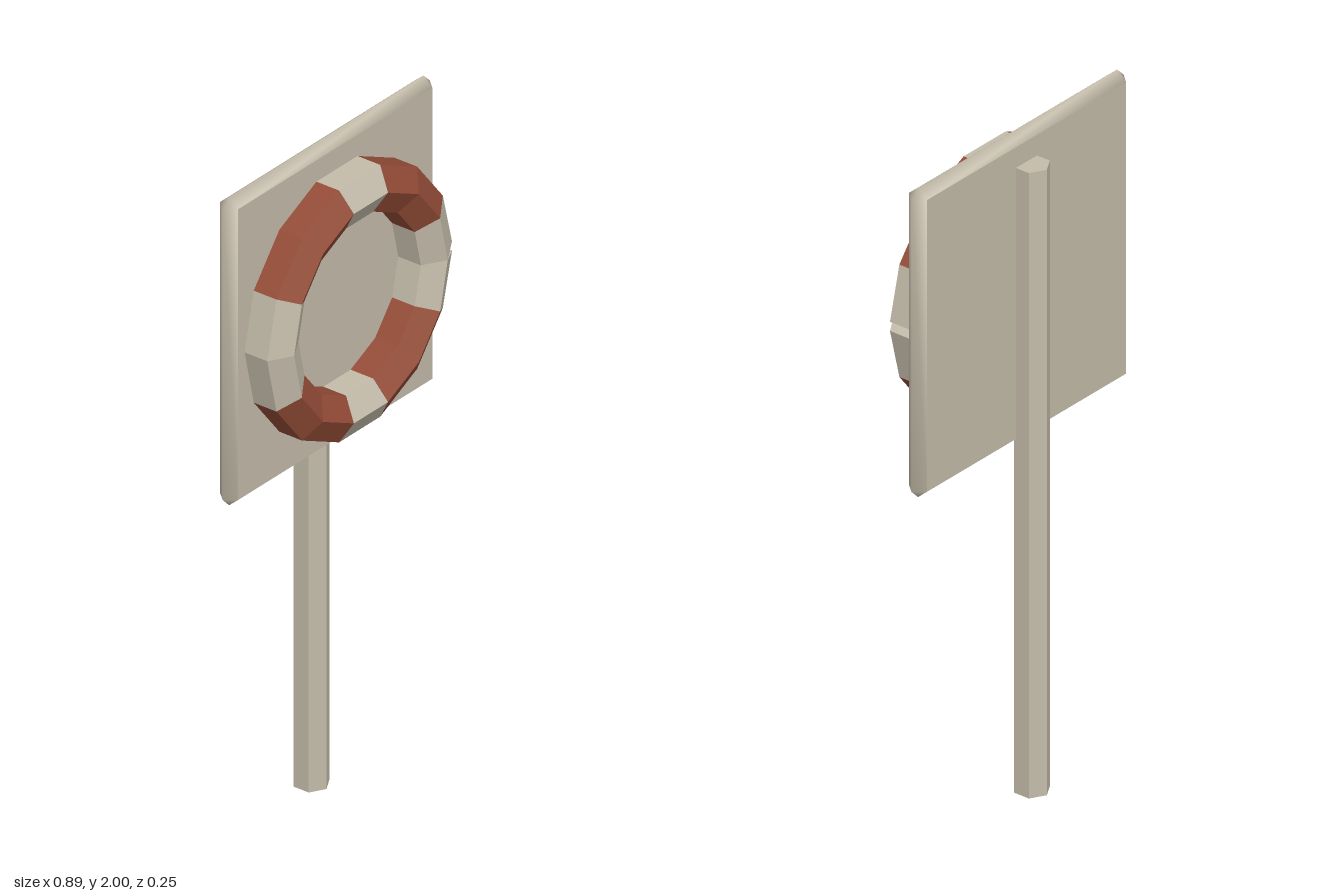
import * as THREE from 'three';
import { mergeVertices } from 'three/addons/utils/BufferGeometryUtils.js';

const cream = new THREE.MeshStandardMaterial({ color: 0xc4bcaa });
cream.name = 'cream';
const red = new THREE.MeshStandardMaterial({ color: 0x944c37 });
red.name = 'brick red';

function meshOf(name, geometry, material) {
  const mesh = new THREE.Mesh(geometry, material);
  mesh.name = name;
  return mesh;
}

// Unindexed geometry from polygons (arrays of Vector3, counter-clockwise), flat normals
function fromPolygons(polygons) {
  const pos = [];
  for (const p of polygons) {
    for (let k = 1; k < p.length - 1; k++) {
      for (const v of [p[0], p[k], p[k + 1]]) pos.push(v.x, v.y, v.z);
    }
  }
  const g = new THREE.BufferGeometry();
  g.setAttribute('position', new THREE.Float32BufferAttribute(pos, 3));
  g.computeVertexNormals();
  return g;
}

// Backboard: square faces, with a rim that swells to a corner-cut square
function createBoard() {
  const cy = 1.5275, hx = 0.443, hy = 0.4725, bevel = 0.027;
  const back = -0.058, mid = -0.027, front = 0.004;
  const v = (x, y, z) => new THREE.Vector3(x, cy + y, z);
  const fx = hx - bevel, fy = hy - bevel;
  const corners = [[1, -1], [1, 1], [-1, 1], [-1, -1]];
  const face = (z) => corners.map(([sx, sy]) => v(sx * fx, sy * fy, z));
  const ring = [];
  corners.forEach(([sx, sy], i) => {
    const onSide = v(sx * hx, sy * fy, mid), onEnd = v(sx * fx, sy * hy, mid);
    ring.push(...(i % 2 ? [onSide, onEnd] : [onEnd, onSide]));
  });
  const f = face(front), b = face(back), rim = [];
  for (let i = 0; i < 4; i++) {
    const n = (i + 1) % 4;
    const p = ring[2 * i], q = ring[2 * i + 1], r = ring[2 * n];
    rim.push([p, q, f[i]], [q, p, b[i]]);
    rim.push([q, r, f[n], f[i]], [r, q, b[i], b[n]]);
  }
  const rimGeometry = fromPolygons(rim);
  rimGeometry.deleteAttribute('normal');
  const smoothRim = mergeVertices(rimGeometry);
  smoothRim.computeVertexNormals();

  const board = new THREE.Group();
  board.name = 'backboard';
  board.add(
    meshOf('boardFaces', fromPolygons([f, b.slice().reverse()]), cream),
    meshOf('boardRim', smoothRim, cream)
  );
  return board;
}

// Life ring: fourteen segments with a hexagonal section and a notch on one side
function createRing() {
  const segments = 14, sides = 6, radius = 0.329, tube = 0.077, notch = 0.014;
  const cy = 1.527, cz = 0.048;
  const point = (i, j) => {
    const a = (i / segments) * Math.PI * 2;
    const phi = Math.PI / 2 + (j / sides) * Math.PI * 2;
    const r = radius + tube * Math.cos(phi);
    const p = new THREE.Vector3(r * Math.cos(a), cy + r * Math.sin(a), cz + tube * Math.sin(phi));
    // Open the outer wall where the two ends meet
    const outer = j === 4 || j === 5;
    if (outer && i === 0) p.y += notch;
    if (outer && i === segments) p.y -= notch;
    return p;
  };
  const creamFaces = [], redFaces = [];
  for (let i = 0; i < segments; i++) {
    const isRed = [1, 2, 4, 5].includes(i % 7);
    for (let j = 0; j < sides; j++) {
      const k = (j + 1) % sides;
      (isRed ? redFaces : creamFaces).push([point(i, j), point(i + 1, j), point(i + 1, k), point(i, k)]);
    }
  }
  // Notch walls
  creamFaces.push([3, 4, 5, 0].map((j) => point(0, j)));
  creamFaces.push([0, 5, 4, 3].map((j) => point(segments, j)));

  const ring = new THREE.Group();
  ring.name = 'lifeRing';
  ring.add(
    meshOf('ringCreamBands', fromPolygons(creamFaces), cream),
    meshOf('ringRedBands', fromPolygons(redFaces), red)
  );
  return ring;
}

// Hexagonal post behind the board
function createPost() {
  const height = 1.91;
  const geometry = new THREE.CylinderGeometry(0.051, 0.051, height, 6).toNonIndexed();
  geometry.computeVertexNormals();
  const post = meshOf('post', geometry, cream);
  post.position.set(0, height / 2, -0.077);
  return post;
}

export function createModel() {
  const model = new THREE.Group();
  model.name = 'lifeRingStation';
  model.add(createPost(), createBoard(), createRing());
  return model;
}
